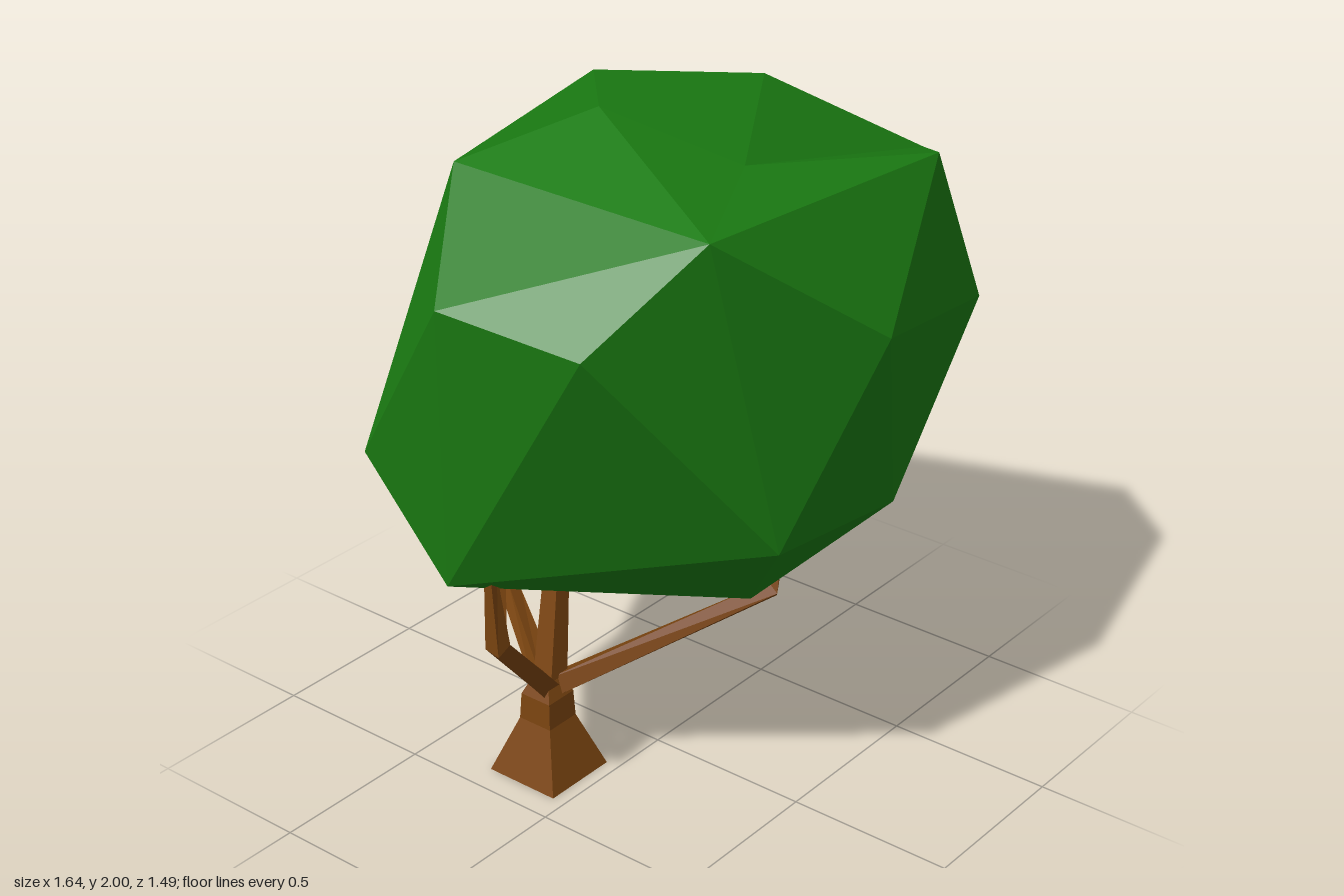
import * as THREE from 'three';
import { ConvexGeometry } from 'three/addons/geometries/ConvexGeometry.js';

const leafMat = new THREE.MeshStandardMaterial({ color: 0x1a7a12, flatShading: true });
const barkMat = new THREE.MeshStandardMaterial({ color: 0x7a4410, flatShading: true });
const vec = (p) => new THREE.Vector3(...p);

// Lofts a four-sided, tapering limb through points [x, y, z, halfWidth].
function limb(name, pts) {
  const centres = pts.map((p) => new THREE.Vector3(p[0], p[1], p[2]));
  const pos = [];
  const rings = centres.map((c, i) => {
    const a = centres[Math.max(i - 1, 0)], b = centres[Math.min(i + 1, centres.length - 1)];
    const t = b.clone().sub(a).normalize();
    const u = new THREE.Vector3(1, 0, 0).addScaledVector(t, -t.x).normalize();
    const w = new THREE.Vector3().crossVectors(t, u);
    return [[1, 1], [-1, 1], [-1, -1], [1, -1]].map(([s, r]) =>
      c.clone().addScaledVector(u, s * pts[i][3]).addScaledVector(w, r * pts[i][3]));
  });
  const tri = (...vs) => vs.forEach((v) => pos.push(v.x, v.y, v.z));
  for (let i = 0; i < rings.length - 1; i++) {
    for (let k = 0; k < 4; k++) {
      const n = (k + 1) % 4, lo = rings[i], hi = rings[i + 1];
      tri(lo[k], lo[n], hi[n]);
      tri(lo[k], hi[n], hi[k]);
    }
  }
  const s = rings[0], e = rings[rings.length - 1];
  tri(s[0], s[2], s[1]); tri(s[0], s[3], s[2]);
  tri(e[0], e[1], e[2]); tri(e[0], e[2], e[3]);
  const geo = new THREE.BufferGeometry();
  geo.setAttribute('position', new THREE.Float32BufferAttribute(pos, 3));
  geo.computeVertexNormals();
  const mesh = new THREE.Mesh(geo, barkMat);
  mesh.name = name;
  return mesh;
}

// Faceted crown: a convex hull whose top facets are folded in to a shallow notch.
function crown() {
  const rim = [ // counter-clockwise seen from above
    [-0.19, 2.0, -0.04], [-0.46, 1.86, 0.53], [0.48, 1.82, 0.56],
    [0.82, 1.67, 0.29], [0.46, 1.92, 0],
  ].map(vec);
  const upper = [
    [-0.5, 1.89, -0.26], [0.19, 1.92, -0.38], [-0.82, 1.65, -0.04], [-0.73, 1.59, 0.35],
    [0.02, 1.5, 0.74], [0.54, 1.65, -0.55], [-0.13, 1.68, -0.6],
  ].map(vec);
  const lower = [
    [0.77, 1.3, 0.53], [0.8, 1.17, -0.37], [-0.08, 1.3, -0.75], [0.32, 1.02, -0.67],
    [-0.77, 1.14, -0.36], [0.71, 0.89, 0], [-0.26, 0.95, 0.61], [0.26, 0.89, 0.61],
    [0.48, 0.7, 0.26], [0.38, 0.65, -0.05], [-0.05, 0.65, -0.37], [-0.07, 0.65, 0.38],
    [-0.75, 0.82, -0.1], [-0.05, 0.54, 0.04],
  ].map(vec);
  const notch = vec([-0.06, 1.89, 0.33]);

  const hull = new ConvexGeometry([...rim, ...upper, ...lower]).getAttribute('position');
  const onRim = (v) => rim.some((r) => r.distanceTo(v) < 1e-4);
  const pos = [];
  for (let i = 0; i < hull.count; i += 3) {
    const t = [0, 1, 2].map((k) => new THREE.Vector3().fromBufferAttribute(hull, i + k));
    if (!t.every(onRim)) t.forEach((v) => pos.push(v.x, v.y, v.z));
  }
  rim.forEach((r, i) => {
    [notch, r, rim[(i + 1) % rim.length]].forEach((v) => pos.push(v.x, v.y, v.z));
  });
  const geo = new THREE.BufferGeometry();
  geo.setAttribute('position', new THREE.Float32BufferAttribute(pos, 3));
  geo.computeVertexNormals();
  const mesh = new THREE.Mesh(geo, leafMat);
  mesh.name = 'crown';
  return mesh;
}

export function createModel() {
  const tree = new THREE.Group();
  tree.name = 'tree';
  tree.add(crown());

  // Flared square trunk
  tree.add(limb('trunk', [
    [-0.3, 0, -0.16, 0.118], [-0.3, 0.17, -0.16, 0.056], [-0.3, 0.25, -0.16, 0.052], [-0.3, 0.3, -0.16, 0.03],
  ]));

  // Branches, each bending upward into the crown
  const root = [-0.3, 0.265, -0.16, 0.028];
  tree.add(limb('leftBranch', [root, [0.29, 0.45, 0.19, 0.022], [0.34, 0.68, 0.19, 0.012]]));
  tree.add(limb('rightBranch', [root, [-0.64, 0.61, -0.03, 0.024], [-0.66, 0.84, -0.03, 0.012]]));
  tree.add(limb('rightTwig', [[-0.64, 0.62, -0.03, 0.018], [-0.48, 0.78, -0.16, 0.01]]));
  tree.add(limb('backBranch', [root, [-0.16, 0.43, -0.42, 0.022], [0.1, 0.79, -0.46, 0.009]]));
  tree.add(limb('backTwig', [[-0.16, 0.43, -0.42, 0.02], [-0.24, 0.84, -0.46, 0.009]]));
  tree.add(limb('middleBranch', [[-0.29, 0.26, -0.16, 0.035], [-0.18, 0.72, -0.21, 0.022]]));
  return tree;
}
